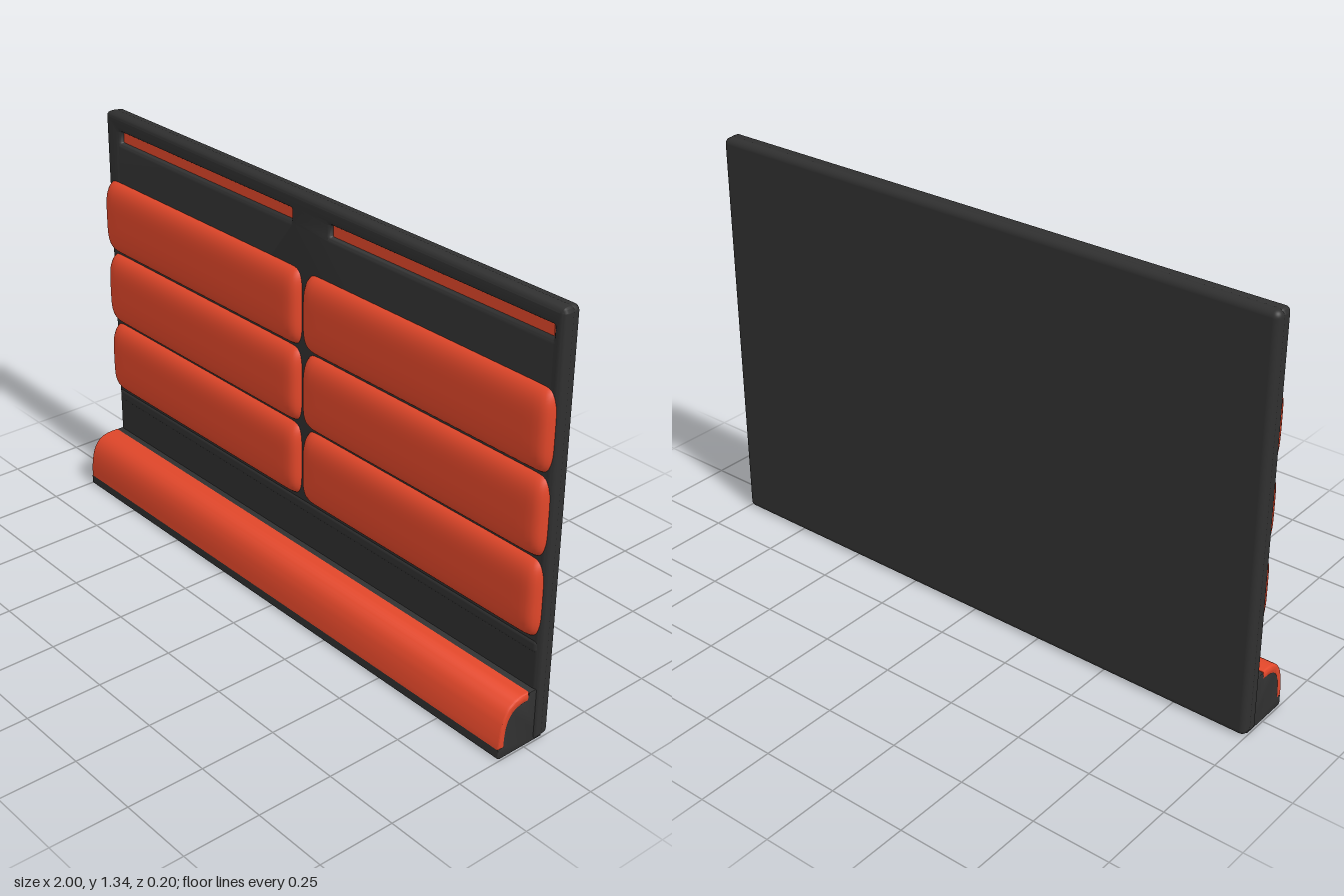
import * as THREE from 'three';
import { toCreasedNormals } from 'three/addons/utils/BufferGeometryUtils.js';
import { RoundedBoxGeometry } from 'three/addons/geometries/RoundedBoxGeometry.js';

const black = new THREE.MeshStandardMaterial({ color: 0x303030 });
const red = new THREE.MeshStandardMaterial({ color: 0xe2472a });

function add(group, name, geometry, material, x = 0, y = 0, z = 0) {
  const mesh = new THREE.Mesh(geometry, material);
  mesh.name = name;
  mesh.position.set(x, y, z);
  group.add(mesh);
}

// Extrusion whose bevel cuts inward, so the shape keeps its nominal size
function extrude(shape, depth, bevel) {
  const g = new THREE.ExtrudeGeometry(shape, {
    depth: depth - 2 * bevel, bevelThickness: bevel, bevelSize: bevel,
    bevelOffset: -bevel, bevelSegments: 4, curveSegments: 12,
  });
  g.translate(0, 0, bevel);
  return toCreasedNormals(g, 0.7);
}

// Profile drawn in (z, y), extruded across x and centred
function extrudeAcross(shape, width, bevel) {
  const g = extrude(shape, width, bevel);
  g.translate(0, 0, -width / 2);
  g.rotateY(-Math.PI / 2);
  return g;
}

function roundedRect(path, x0, y0, x1, y1, r) {
  path.absarc(x1 - r, y0 + r, r, -Math.PI / 2, 0);
  path.absarc(x1 - r, y1 - r, r, 0, Math.PI / 2);
  path.absarc(x0 + r, y1 - r, r, Math.PI / 2, Math.PI);
  path.absarc(x0 + r, y0 + r, r, Math.PI, Math.PI * 1.5);
  path.closePath();
  return path;
}

// Domed pad: flat middle, soft long edges and tight round ends
function padGeometry(width, height, depth) {
  const g = new THREE.PlaneGeometry(2, 2, 28, 28);
  const p = g.attributes.position;
  const crowd = (a, n) => Math.sign(a) * (1 - Math.pow(1 - Math.abs(a), n));
  const dome = (a, n) => Math.sqrt(Math.max(0, 1 - Math.pow(Math.abs(a), n)));
  for (let i = 0; i < p.count; i++) {
    const v = crowd(p.getX(i), 4), u = crowd(p.getY(i), 2);
    const inset = 0.035 * (1 - dome(u, 5));
    p.setXYZ(i, v * (width / 2 - inset), u * height / 2, depth * dome(u, 4) * dome(v, 40));
  }
  g.computeVertexNormals();
  return g;
}

export function createModel() {
  const model = new THREE.Group();
  model.name = 'paddedBoard';

  // Board: solid back and a front plate with two slots
  add(model, 'boardBack', new RoundedBoxGeometry(2, 1.335, 0.045, 4, 0.02), black, 0, 0.6675, -0.0775);
  const plate = roundedRect(new THREE.Shape(), -1, 0, 1, 1.335, 0.016);
  for (const x of [-0.925, 0.105])
    plate.holes.push(roundedRect(new THREE.Path(), x, 1.243, x + 0.82 + 0.04, 1.28, 0.004));
  add(model, 'boardFront', extrude(plate, 0.045, 0.015), black, 0, 0, -0.08);

  // Slot floors, then three rows of pads on each side
  const pad = padGeometry(0.985, 0.256, 0.05);
  for (const side of [-1, 1]) {
    add(model, 'slotInsert', new THREE.BoxGeometry(0.88, 0.045, 0.012), red,
      side * 0.505 + 0.01, 1.2615, -0.058);
    for (let row = 0; row < 3; row++)
      add(model, 'pad', pad, red, side * 0.5025, 0.468 + row * 0.257, -0.05);
  }

  // Raised dark strip below the pads
  add(model, 'lowerStrip', new RoundedBoxGeometry(1.985, 0.042, 0.03, 4, 0.013), black, 0, 0.315, -0.046);

  // Bottom ledge body, set just under its cover
  const body = new THREE.Shape();
  body.moveTo(-0.075, 0);
  body.lineTo(0.09, 0);
  body.quadraticCurveTo(0.1, 0, 0.1, 0.01);
  body.lineTo(0.1, 0.034);
  body.lineTo(0.09, 0.036);
  body.bezierCurveTo(0.088, 0.13, 0.075, 0.16, 0.02, 0.168);
  body.lineTo(-0.012, 0.17);
  body.lineTo(-0.012, 0.178);
  body.lineTo(-0.075, 0.178);
  body.closePath();
  add(model, 'ledgeBody', extrudeAcross(body, 1.992, 0.004), black);

  // Curved padded cover wrapping the ledge
  const cover = new THREE.Shape();
  cover.moveTo(0.1, 0.034);
  cover.bezierCurveTo(0.099, 0.13, 0.08, 0.18, 0.01, 0.18);
  cover.lineTo(-0.012, 0.18);
  cover.lineTo(-0.012, 0.152);
  cover.lineTo(0.01, 0.152);
  cover.bezierCurveTo(0.06, 0.147, 0.076, 0.12, 0.077, 0.034);
  cover.closePath();
  add(model, 'ledgeCover', extrudeAcross(cover, 1.995, 0.008), red);

  return model;
}
